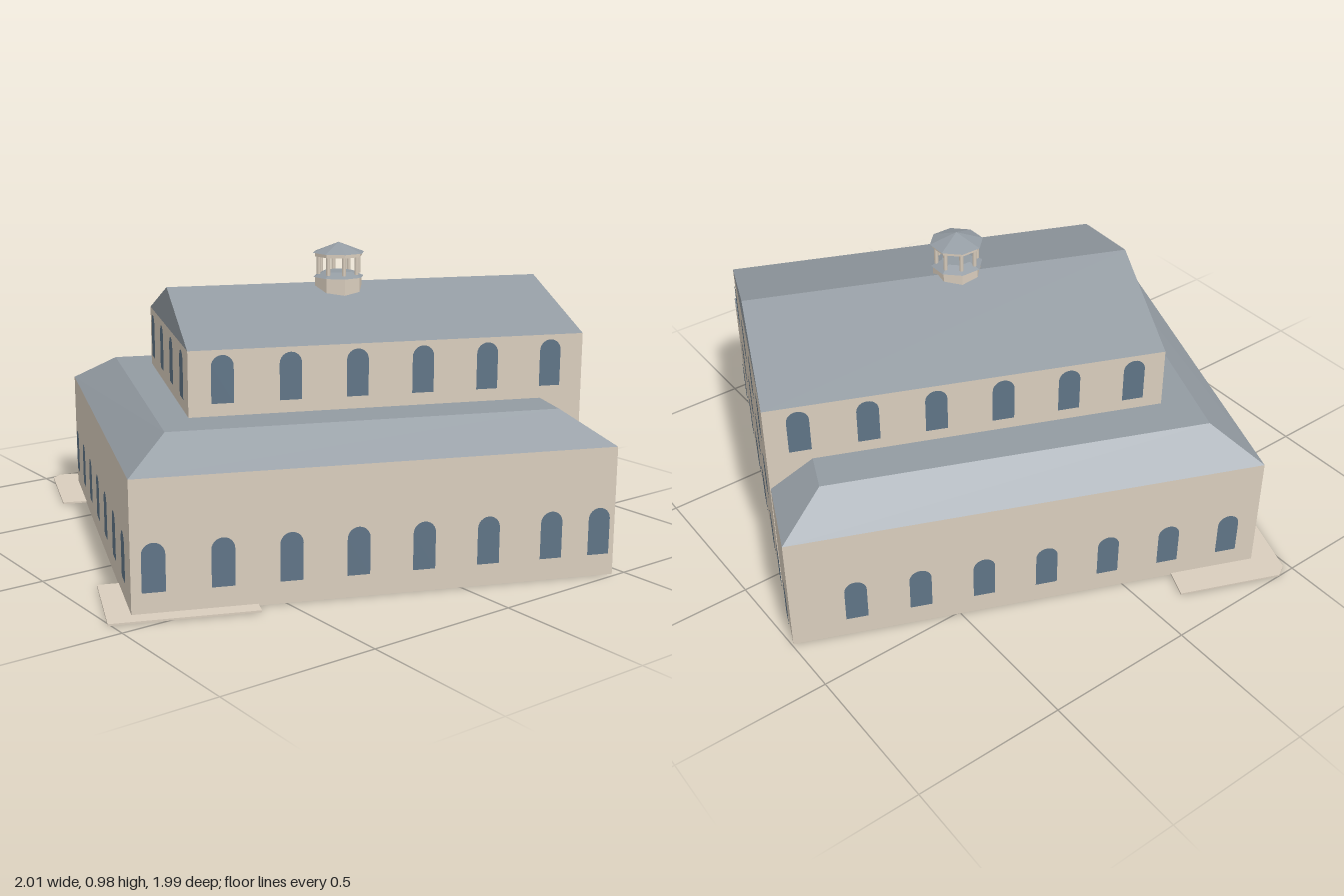
import * as THREE from 'three';

const wallMat = new THREE.MeshStandardMaterial({ color: 0xd9cdbd });
const roofMat = new THREE.MeshStandardMaterial({ color: 0x939ba2, flatShading: true });
const glassMat = new THREE.MeshStandardMaterial({ color: 0x5f7486 });

function add(parent, name, geometry, material, x = 0, y = 0, z = 0) {
  const mesh = new THREE.Mesh(geometry, material);
  mesh.name = name;
  mesh.position.set(x, y, z);
  parent.add(mesh);
  return mesh;
}

// Vertical prism over a footprint of [x, z] corners
function prism(points, height) {
  const shape = new THREE.Shape(points.map(([x, z]) => new THREE.Vector2(x, -z)));
  return new THREE.ExtrudeGeometry(shape, { depth: height, bevelEnabled: false }).rotateX(-Math.PI / 2);
}

// Hipped skirt from an outer ring up to an inner ring, closed by a flat top
function hippedRoof(outer, inner, y0, y1) {
  const pos = [];
  const quad = (a, b, c, d) => pos.push(...a, ...b, ...c, ...a, ...c, ...d);
  const low = outer.map(([x, z]) => [x, y0, z]);
  const high = inner.map(([x, z]) => [x, y1, z]);
  for (let i = 0; i < 4; i++) {
    const j = (i + 1) % 4;
    quad(low[i], low[j], high[j], high[i]);
  }
  quad(...high);
  const geometry = new THREE.BufferGeometry();
  geometry.setAttribute('position', new THREE.Float32BufferAttribute(pos, 3));
  geometry.computeVertexNormals();
  return geometry;
}

// Round-headed window pane
function archGeometry(w, h) {
  const r = w / 2;
  const shape = new THREE.Shape();
  shape.moveTo(-r, 0);
  shape.lineTo(r, 0);
  shape.lineTo(r, h - r);
  shape.absarc(0, h - r, r, 0, Math.PI, false);
  shape.lineTo(-r, 0);
  return new THREE.ShapeGeometry(shape, 6);
}
const arch = archGeometry(0.07, 0.15);

// Windows on the wall running from a to b (left to right seen from outside);
// spots are coordinates along the wall's main axis
function windowRow(parent, name, a, b, y, spots) {
  const dx = b[0] - a[0], dz = b[1] - a[1], len = Math.hypot(dx, dz);
  const axis = Math.abs(dx) > Math.abs(dz) ? 0 : 1;
  for (const s of spots) {
    const t = (s - a[axis]) / (b[axis] - a[axis]);
    const x = a[0] + dx * t - (dz / len) * 0.004;
    const z = a[1] + dz * t + (dx / len) * 0.004;
    add(parent, name, arch, glassMat, x, y, z).rotation.y = Math.atan2(-dz, dx);
  }
}

const spread = (from, to, n) => Array.from({ length: n }, (_, i) => from + ((to - from) * i) / (n - 1));

export function createModel() {
  const model = new THREE.Group();
  model.name = 'building';
  const house = new THREE.Group();
  house.name = 'turnedBuilding';
  house.rotation.y = THREE.MathUtils.degToRad(-22.6);
  model.add(house);

  // Lower storey: front left, front right, back right, back left corners
  const low = [[-0.692, 0.735], [0.803, 0.735], [0.803, -0.66], [-0.729, -0.66]];
  const ridge = [[-0.566, 0.598], [0.665, 0.598], [0.665, -0.526], [-0.587, -0.526]];
  add(house, 'lowerWalls', prism(low, 0.41), wallMat);
  add(house, 'lowerRoof', hippedRoof(low, ridge, 0.41, 0.505), roofMat);

  // Tall hall, flush with the right end wall
  const hall = [[-0.472, 0.446], [0.805, 0.446], [0.805, -0.389], [-0.472, -0.389]];
  add(house, 'hallWalls', prism(hall, 0.71), wallMat);
  const gable = new THREE.Shape([
    new THREE.Vector2(-0.446, 0.71), new THREE.Vector2(0.389, 0.71), new THREE.Vector2(-0.03, 0.842),
  ]);
  const gableRoof = new THREE.ExtrudeGeometry(gable, { depth: 1.277, bevelEnabled: false }).rotateY(Math.PI / 2);
  add(house, 'hallRoof', gableRoof, roofMat, -0.472);

  // Lower windows
  const [fl, fr, br, bl] = low;
  windowRow(house, 'frontLowerWindow', fl, fr, 0.07, [...spread(-0.626, 0.593, 7), 0.75]);
  windowRow(house, 'backLowerWindow', br, bl, 0.07, spread(0.597, -0.627, 7));
  windowRow(house, 'leftEndLowerWindow', bl, fl, 0.07, spread(-0.58, 0.614, 7));
  windowRow(house, 'rightEndLowerWindow', [0.805, 0.735], [0.805, -0.66], 0.07,
    [0.565, 0.355, 0.154, 0.134, -0.045, -0.065, -0.28, -0.45, -0.615]);

  // Hall windows
  const [hfl, hfr, hbr, hbl] = hall;
  windowRow(house, 'hallFrontWindow', hfl, hfr, 0.545, spread(-0.367, 0.694, 6));
  windowRow(house, 'hallBackWindow', hbr, hbl, 0.545, spread(0.7, -0.37, 6));
  windowRow(house, 'hallLeftEndWindow', hbl, hfl, 0.545, spread(-0.3, 0.34, 4));
  for (const y of [0.31, 0.545])
    windowRow(house, 'hallRightEndWindow', hfr, hbr, y, spread(0.355, -0.28, 4));

  // Paved slabs at two corners
  add(house, 'frontPaving', prism([[-0.765, 0.47], [-0.765, 0.787], [-0.32, 0.787], [-0.32, 0.47]], 0.006), wallMat);
  add(house, 'backPaving', prism(
    [[-0.805, -0.39], [-0.818, -0.72], [-0.79, -0.755], [-0.445, -0.757], [-0.445, -0.39]], 0.006), wallMat);

  // Open octagonal cupola astride the ridge
  const cupola = new THREE.Group();
  cupola.name = 'cupola';
  cupola.position.set(0.1, 0, 0.056);
  house.add(cupola);
  const octagon = (r0, r1, h) => new THREE.CylinderGeometry(r0, r1, h, 8).toNonIndexed();
  const stone = wallMat.clone();
  stone.flatShading = true;
  add(cupola, 'cupolaBase', octagon(0.08, 0.08, 0.06), stone, 0, 0.835);
  add(cupola, 'cupolaBaseRoof', octagon(0.05, 0.086, 0.018), roofMat, 0, 0.872);
  for (let i = 0; i < 8; i++) {
    const a = (i * Math.PI) / 4;
    add(cupola, 'cupolaPost', new THREE.CylinderGeometry(0.007, 0.007, 0.066, 6), wallMat,
      Math.sin(a) * 0.068, 0.905, Math.cos(a) * 0.068);
  }
  add(cupola, 'cupolaCornice', octagon(0.08, 0.08, 0.014), stone, 0, 0.938);
  add(cupola, 'cupolaRoof', new THREE.ConeGeometry(0.088, 0.034, 8), roofMat, 0, 0.96);

  return model;
}
